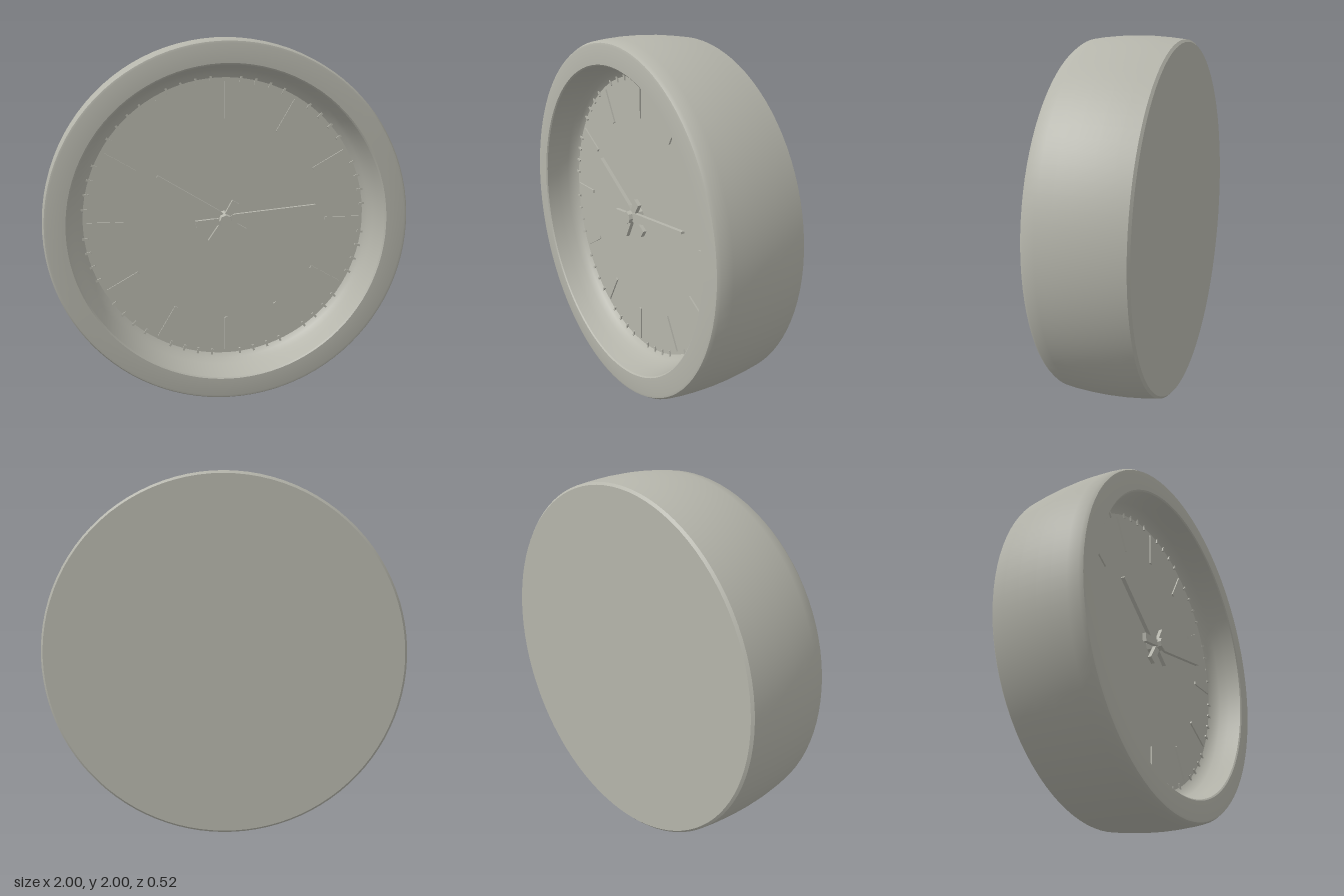
import * as THREE from 'three';
import { toCreasedNormals } from 'three/addons/utils/BufferGeometryUtils.js';

export function createModel() {
  const clock = new THREE.Group();
  clock.name = 'wallClock';
  clock.position.y = 1;
  const grey = new THREE.MeshStandardMaterial({ color: 0xb5b5ab });
  grey.name = 'warm grey';

  const FACE_Z = 0.06;
  const add = (name, geometry, parent = clock) => {
    const mesh = new THREE.Mesh(geometry, grey);
    mesh.name = name;
    parent.add(mesh);
    return mesh;
  };

  // Case: back, bulging side, flat bezel and sloped inner wall (radius, depth)
  const profile = [
    [0, -0.26], [0.965, -0.26], [0.978, -0.248], [0.988, -0.17], [0.996, -0.08],
    [0.999, 0.02], [0.997, 0.1], [0.991, 0.18], [0.983, 0.24], [0.972, 0.257],
    [0.96, 0.26], [0.862, 0.26], [0.855, 0.253], [0.845, 0.18], [0.832, 0.12],
    [0.815, 0.08], [0.79, FACE_Z],
  ].map(([r, z]) => new THREE.Vector2(r, z));
  const shell = new THREE.LatheGeometry(profile, 96);
  shell.rotateX(Math.PI / 2);
  add('case', toCreasedNormals(shell, 0.6));

  // Dial
  const dial = add('dial', new THREE.CircleGeometry(0.792, 96));
  dial.position.z = FACE_Z;

  // Hour ticks, with small minute marks against the wall
  const ticks = new THREE.Group();
  ticks.name = 'ticks';
  clock.add(ticks);
  for (let i = 0; i < 60; i++) {
    const hour = i % 5 === 0;
    const length = hour ? 0.2 : 0.035;
    const r = hour ? 0.67 : 0.785;
    const a = (i / 60) * Math.PI * 2;
    const tick = add(hour ? 'hourTick' : 'minuteTick',
      new THREE.BoxGeometry(hour ? 0.018 : 0.012, length, 0.012), ticks);
    tick.position.set(Math.sin(a) * r, Math.cos(a) * r, FACE_Z + 0.003);
    tick.rotation.z = -a;
  }

  // Hands: tapered blade towards the tip, flat tail behind the hub
  const hub = new THREE.Vector2(-0.01, 0.015);
  const makeHand = (name, tipX, tipY, tail, base, tipWidth, z) => {
    const dx = tipX - hub.x, dy = tipY - hub.y;
    const length = Math.hypot(dx, dy);
    const shape = new THREE.Shape([
      [-tail, -0.024], [-0.03, -0.018], [0.06, -base], [length, -tipWidth],
      [length, tipWidth], [0.06, base], [-0.03, 0.018], [-tail, 0.024],
    ].map(([x, y]) => new THREE.Vector2(x, y)));
    const hand = add(name, new THREE.ExtrudeGeometry(shape, { depth: 0.022, bevelEnabled: false }));
    hand.position.set(hub.x, hub.y, z);
    hand.rotation.z = Math.atan2(dy, dx);
  };
  makeHand('hourHand', -0.38, 0.265, 0.13, 0.027, 0.006, 0.09);
  makeHand('minuteHand', 0.5, 0.088, 0.165, 0.027, 0.006, 0.105);
  makeHand('shortHand', 0.05, 0.115, 0.145, 0.022, 0.024, 0.098);

  // Hub pin
  const pin = new THREE.CylinderGeometry(0.034, 0.046, 0.09, 8);
  pin.rotateX(Math.PI / 2);
  add('hub', toCreasedNormals(pin, 0.6)).position.set(hub.x, hub.y, FACE_Z + 0.043);

  return clock;
}
